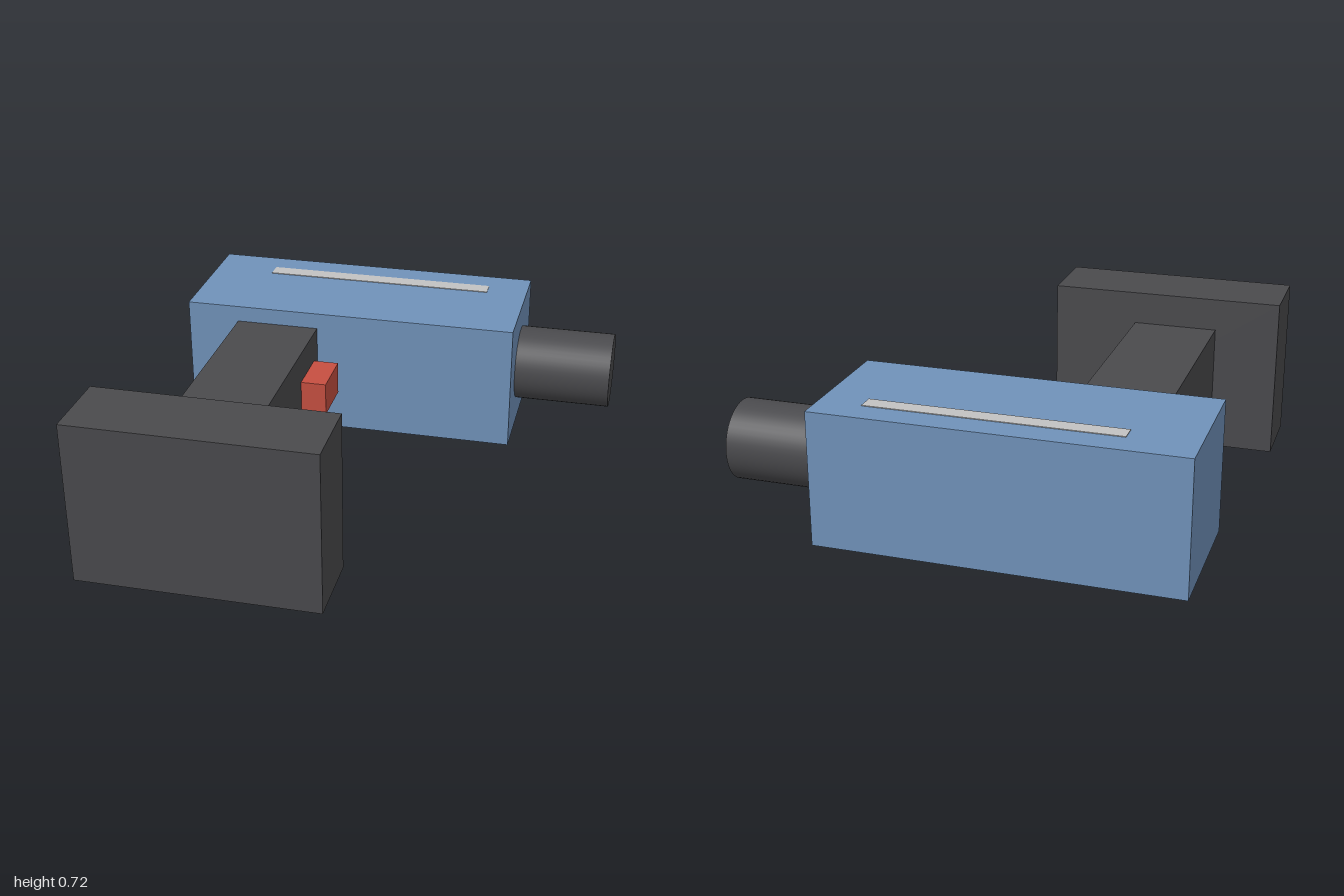
import * as THREE from 'three';

const mat = (name, color) => {
  const m = new THREE.MeshStandardMaterial({ color });
  m.name = name;
  return m;
};

export function createModel() {
  const model = new THREE.Group();
  model.name = 'cordlessDrill';
  const blue = mat('blue casing', 0x7092ba);
  const dark = mat('dark grey', 0x4a4a4d);
  const red = mat('trigger red', 0xc64f41);
  const silver = mat('silver', 0xc2c2c2);

  // Box given by its limits on each axis
  const box = (name, material, [x0, x1], [y0, y1], [z0, z1]) => {
    const mesh = new THREE.Mesh(new THREE.BoxGeometry(x1 - x0, y1 - y0, z1 - z0), material);
    mesh.position.set((x0 + x1) / 2, (y0 + y1) / 2, (z0 + z1) / 2);
    mesh.name = name;
    model.add(mesh);
  };

  box('motorBody', blue, [-0.95, 0.568], [0.074, 0.645], [-1, -0.385]);
  box('handle', dark, [-0.713, -0.335], [0.148, 0.572], [-0.385, 0.665]);
  box('battery', dark, [-1, 0.045], [0, 0.717], [0.665, 1]);
  box('trigger', red, [-0.335, -0.222], [0.288, 0.436], [-0.325, -0.098]);

  // Thin strips on the upper and lower casing faces
  box('upperStrip', silver, [-0.67, 0.383], [0.644, 0.648], [-0.88, -0.806]);
  box('lowerStrip', silver, [-0.67, 0.383], [0.071, 0.075], [-0.88, -0.806]);

  // Chuck lies along x
  const chuck = new THREE.Mesh(new THREE.CylinderGeometry(0.17, 0.17, 0.432, 48), dark);
  chuck.rotation.z = -Math.PI / 2;
  chuck.position.set(0.784, 0.36, -0.69);
  chuck.name = 'chuck';
  model.add(chuck);

  return model;
}
